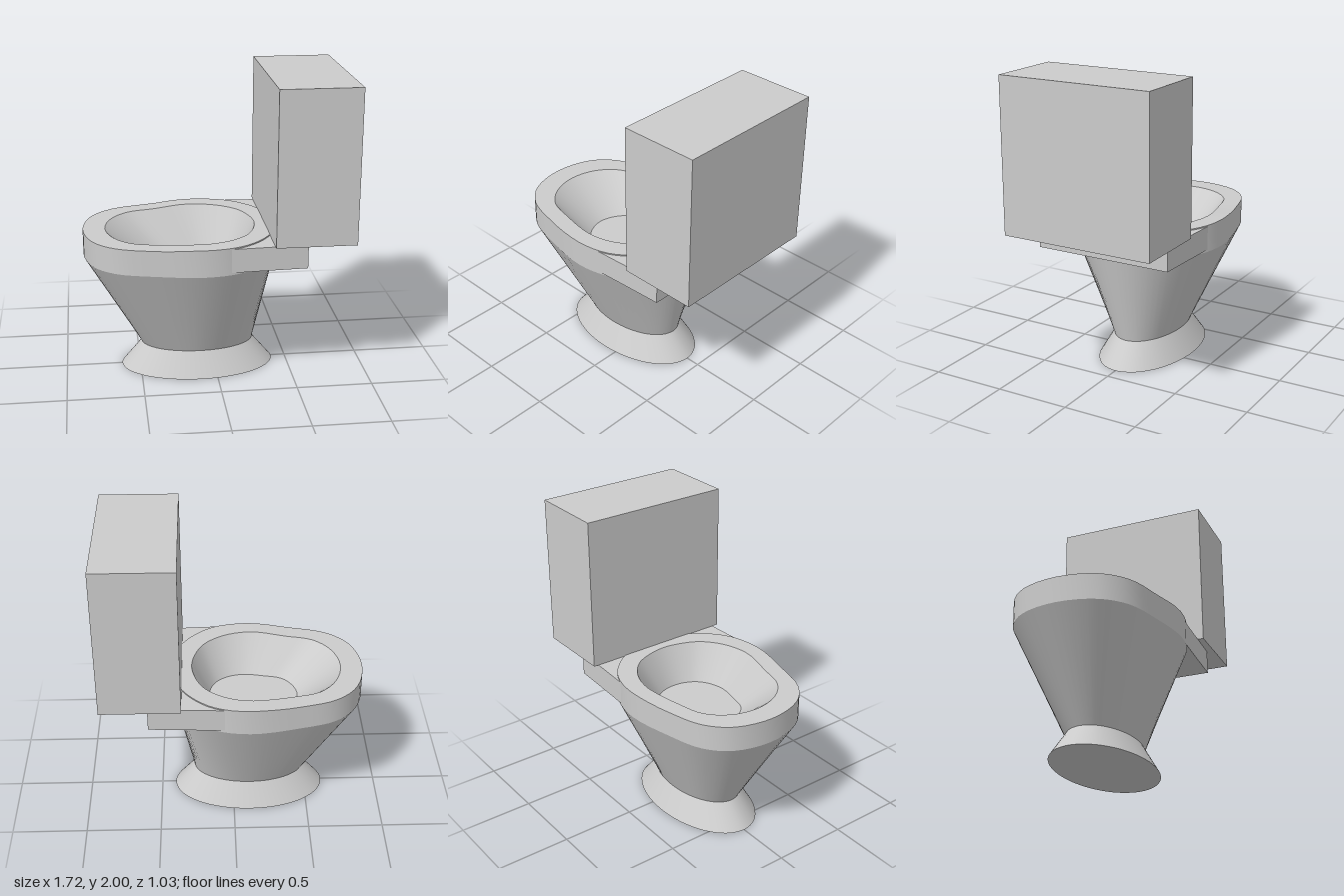
import * as THREE from 'three';

const SEGMENTS = 64;

// Closed symmetric ring from half an outline, listed from the -x tip to the +x tip
function ring(half, height) {
  const mirrored = half.slice(1, -1).reverse().map(([x, z]) => [x, -z]);
  const points = [...half, ...mirrored].map(([x, z]) => new THREE.Vector3(x, 0, z));
  const curve = new THREE.CatmullRomCurve3(points, true, 'centripetal');
  return Array.from({ length: SEGMENTS }, (_, i) => {
    const p = curve.getPoint(i / SEGMENTS);
    p.y = typeof height === 'function' ? height(p.x) : height;
    return p;
  });
}

// Half an ellipse centred on the pedestal axis
function ellipse(rx, rz) {
  return Array.from({ length: 9 }, (_, k) => {
    const a = Math.PI * (1 - k / 8);
    return [-0.11 + rx * Math.cos(a), rz * Math.sin(a)];
  });
}

const centre = (y) => Array.from({ length: SEGMENTS }, () => new THREE.Vector3(-0.11, y, 0));

// Smooth band of faces between two rings
function band(a, b) {
  const geometry = new THREE.BufferGeometry().setFromPoints([...a, ...b]);
  const index = [];
  for (let i = 0; i < SEGMENTS; i++) {
    const j = (i + 1) % SEGMENTS;
    index.push(i, j, SEGMENTS + i, j, SEGMENTS + j, SEGMENTS + i);
  }
  geometry.setIndex(index);
  geometry.computeVertexNormals();
  return geometry;
}

export function createModel() {
  const model = new THREE.Group();
  const material = new THREE.MeshStandardMaterial({ color: 0xcccccc, side: THREE.DoubleSide });
  const add = (name, geometry) => {
    const mesh = new THREE.Mesh(geometry, material);
    mesh.name = name;
    model.add(mesh);
    return mesh;
  };

  // Egg-shaped outlines of the bowl
  const outer = [[-0.86, 0], [-0.8, 0.25], [-0.66, 0.39], [-0.42, 0.465], [-0.1, 0.517],
    [0.13, 0.47], [0.29, 0.34], [0.38, 0.18], [0.41, 0]];
  const opening = [[-0.715, 0], [-0.67, 0.18], [-0.555, 0.305], [-0.38, 0.355], [-0.12, 0.403],
    [0.06, 0.36], [0.19, 0.26], [0.25, 0.14], [0.275, 0]];
  const basin = [[-0.435, 0], [-0.41, 0.1], [-0.34, 0.185], [-0.21, 0.22], [-0.08, 0.241],
    [0.03, 0.215], [0.11, 0.155], [0.15, 0.075], [0.16, 0]];

  // The rim rises very slightly towards the tank
  const rimHeight = (x) => 0.985 + 0.01 * THREE.MathUtils.smoothstep(x, -0.4, -0.15);

  const foot = ring(ellipse(0.515, 0.308), 0);
  const neck = ring(ellipse(0.378, 0.215), 0.165);
  const shoulder = ring(outer, 0.815);
  const rimOuter = ring(outer, rimHeight);
  const rimInner = ring(opening, rimHeight);
  const floor = ring(basin, 0.75);

  // Pedestal and bowl, one band per crisp edge
  add('pedestalUnderside', band(centre(0), foot));
  add('pedestal', band(foot, neck));
  add('bowlWall', band(neck, shoulder));
  add('bowlCollar', band(shoulder, rimOuter));
  add('rim', band(rimOuter, rimInner));
  add('bowlInside', band(rimInner, floor));
  add('bowlFloor', band(floor, centre(0.75)));

  // Tank shelf, notched around the bowl opening
  const shelf = new THREE.Shape();
  shelf.moveTo(0.04, -0.495);
  shelf.lineTo(0.34, -0.48);
  shelf.lineTo(0.555, -0.47);
  shelf.lineTo(0.555, 0.47);
  shelf.lineTo(0.34, 0.48);
  shelf.lineTo(0.04, 0.495);
  const notchEnd = Math.acos(0.14 / 0.42);
  for (let i = 0; i <= 16; i++) {
    const a = notchEnd * (1 - i / 8);
    shelf.lineTo(-0.1 + 0.42 * Math.cos(a), 0.45 * Math.sin(a));
  }
  shelf.closePath();
  const shelfGeometry = new THREE.ExtrudeGeometry(shelf, { depth: 0.157, bevelEnabled: false });
  shelfGeometry.rotateX(-Math.PI / 2);
  add('tankShelf', shelfGeometry).position.y = 0.83;

  // Tank
  add('tank', new THREE.BoxGeometry(0.52, 1.01, 1.034)).position.set(0.6, 1.495, 0);

  return model;
}
